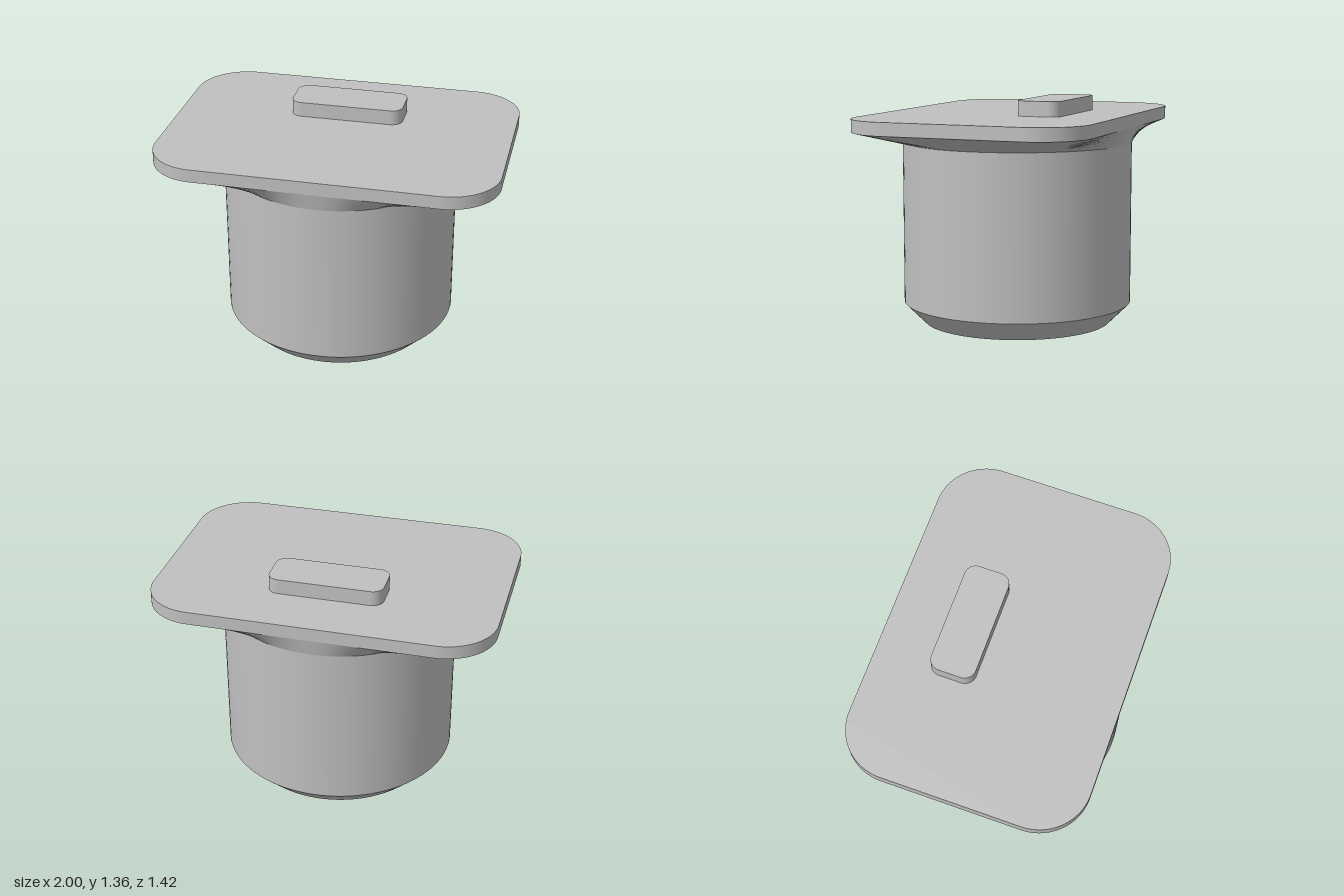
import * as THREE from 'three';
import { toCreasedNormals } from 'three/addons/utils/BufferGeometryUtils.js';

const RADIUS = 0.688;

// Rounded rectangle outline, counter-clockwise
function roundedRect(hx, hy, r) {
  const s = new THREE.Shape();
  s.moveTo(hx, -hy + r);
  s.lineTo(hx, hy - r);
  s.absarc(hx - r, hy - r, r, 0, Math.PI / 2);
  s.lineTo(-hx + r, hy);
  s.absarc(-hx + r, hy - r, r, Math.PI / 2, Math.PI);
  s.lineTo(-hx, -hy + r);
  s.absarc(-hx + r, -hy + r, r, Math.PI, Math.PI * 1.5);
  s.lineTo(hx - r, -hy);
  s.absarc(hx - r, -hy + r, r, Math.PI * 1.5, Math.PI * 2);
  return s;
}

// Horizontal slab with smooth rounded corners
function slab(shape, y, height) {
  const g = new THREE.ExtrudeGeometry(shape, { depth: height, bevelEnabled: false, curveSegments: 16 });
  g.rotateX(-Math.PI / 2).translate(0, y, 0);
  return toCreasedNormals(g, 0.6);
}

// Flare that blends a circle into the rounded rectangle above it
function flare(shape, r, y0, y1) {
  const ring = shape.getSpacedPoints(240);
  ring.pop();
  const n = ring.length, pos = [], index = [];
  for (const p of ring) {
    const k = r / p.length();
    pos.push(p.x * k, y0, p.y * k, p.x, y1, p.y);
  }
  for (let i = 0; i < n; i++) {
    const a = 2 * i, b = 2 * ((i + 1) % n);
    index.push(a, a + 1, b, b, a + 1, b + 1);
  }
  const g = new THREE.BufferGeometry();
  g.setAttribute('position', new THREE.Float32BufferAttribute(pos, 3));
  g.setIndex(index);
  g.computeVertexNormals();
  return g;
}

export function createModel() {
  const group = new THREE.Group();
  const grey = new THREE.MeshStandardMaterial({ color: 0xc0c0c0 });
  grey.name = 'grey';
  const add = (name, geometry) => {
    const mesh = new THREE.Mesh(geometry, grey);
    mesh.name = name;
    group.add(mesh);
    return mesh;
  };

  // Round body with a chamfered foot
  add('body', new THREE.CylinderGeometry(RADIUS, RADIUS, 0.97, 96, 1, true)).position.y = 0.608;
  add('footChamfer', new THREE.CylinderGeometry(RADIUS, 0.565, 0.123, 96, 1, true)).position.y = 0.0615;
  add('base', new THREE.CircleGeometry(0.565, 96).rotateX(Math.PI / 2));

  // Flared neck and top plate
  const outline = roundedRect(1, 0.71, 0.3);
  add('flare', flare(outline, RADIUS, 1.093, 1.193));
  add('topPlate', slab(outline, 1.193, 0.077));

  // Raised block toward the back
  add('raisedBlock', slab(roundedRect(0.335, 0.133, 0.067), 1.27, 0.089)).position.z = -0.248;

  return group;
}
